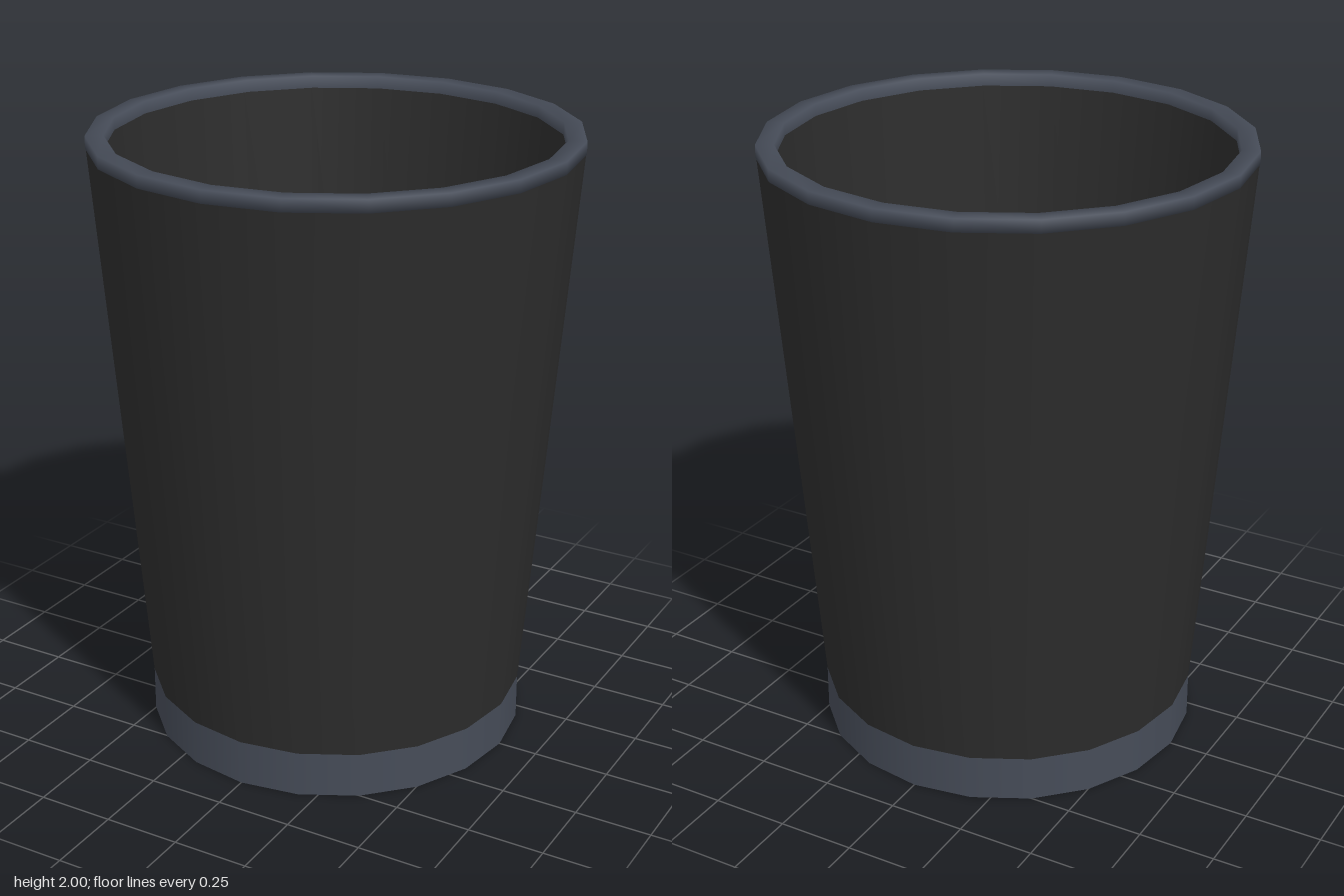
import * as THREE from 'three';

const SIDES = 20;

// Smooth ring of revolution from [radius, height] points, corners facing the axes
function lathe(name, points, material) {
  const profile = points.map(([r, y]) => new THREE.Vector2(r, y));
  const mesh = new THREE.Mesh(new THREE.LatheGeometry(profile, SIDES), material);
  mesh.name = name;
  return mesh;
}

function disc(name, radius, y, up, material) {
  const mesh = new THREE.Mesh(new THREE.CircleGeometry(radius, SIDES), material);
  mesh.rotation.x = up ? -Math.PI / 2 : Math.PI / 2;
  mesh.position.y = y;
  mesh.name = name;
  return mesh;
}

export function createModel() {
  const charcoal = new THREE.MeshStandardMaterial({ name: 'charcoal', color: 0x2c2c2c });
  const slate = new THREE.MeshStandardMaterial({ name: 'slate', color: 0x464c58 });
  const group = new THREE.Group();
  group.name = 'wasteBin';

  // Tapered wall, outer and inner skins
  group.add(lathe('outerWall', [[0.62, 0.15], [0.765, 1.96]], charcoal));
  group.add(lathe('innerWall', [[0.755, 1.96], [0.615, 0.15]], charcoal));

  // Rim: square section with soft shading, closed loop
  group.add(lathe('rim', [[0.71, 1.96], [0.767, 1.96], [0.767, 2], [0.71, 2], [0.71, 1.96]], slate));

  // Base band with a recessed underside
  group.add(lathe('baseBand', [[0.62, 0], [0.62, 0.15]], slate));
  group.add(lathe('baseInside', [[0.615, 0.1], [0.615, 0]], slate));
  group.add(lathe('baseEdge', [[0.615, 0], [0.62, 0]], slate));
  group.add(disc('floor', 0.62, 0.15, true, slate));
  group.add(disc('underside', 0.62, 0.1, false, slate));
  return group;
}
